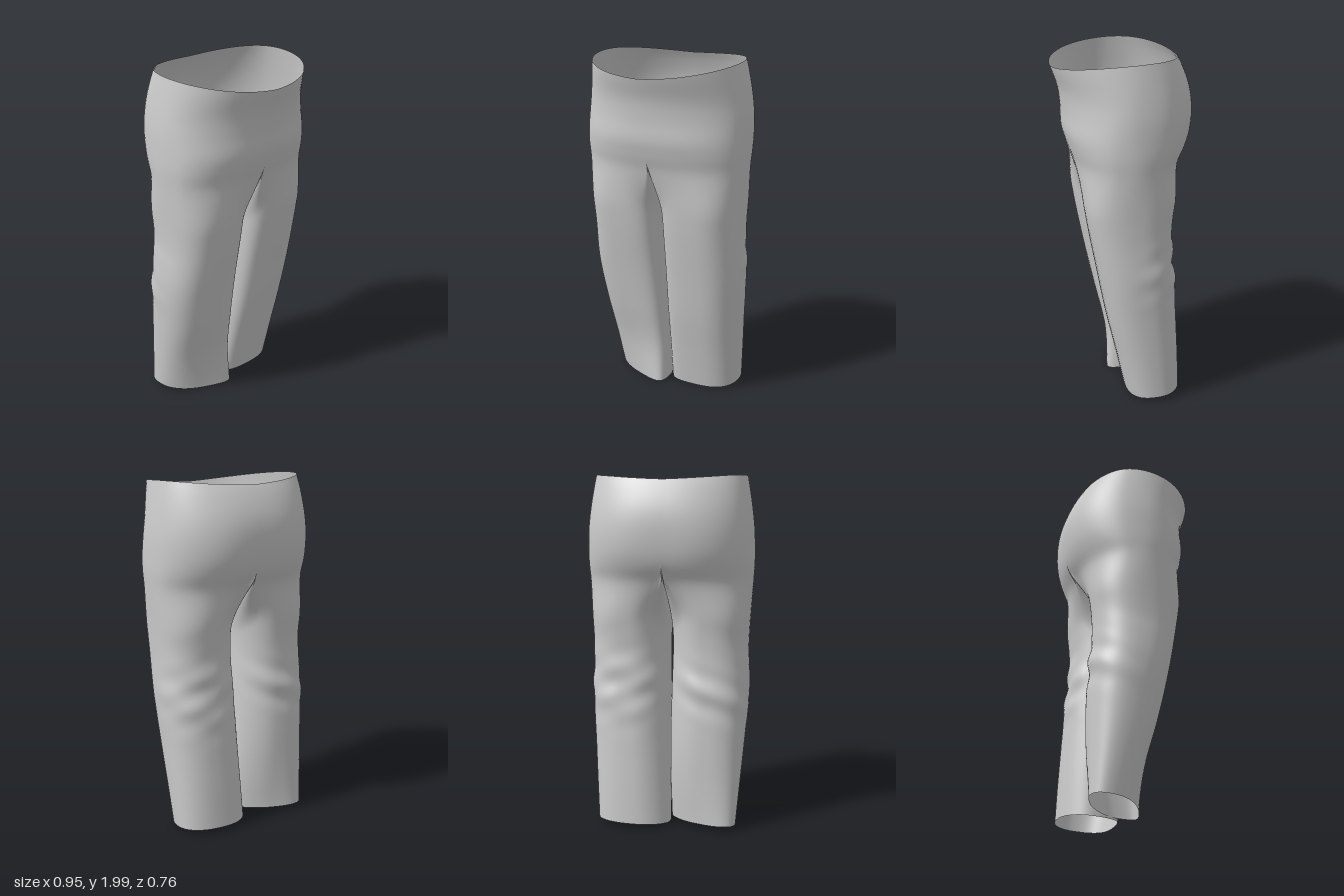
import * as THREE from 'three';
import { mergeGeometries, mergeVertices } from 'three/addons/utils/BufferGeometryUtils.js';

const OUT = 44, INN = 24, TORSO_ROWS = 24, LEG_ROWS = 64, OPEN = 0.6;
const { lerp, smoothstep, clamp } = THREE.MathUtils;

// Smooth lookup in a table of rows [y, ...values], y ascending
function table(rows) {
  const size = rows[0].length - 1;
  const f = new THREE.CubicInterpolant(rows.map(r => r[0]), rows.flatMap(r => r.slice(1)), size, new Float32Array(size));
  const lo = rows[0][0], hi = rows[rows.length - 1][0];
  return y => Array.from(f.evaluate(clamp(y, lo, hi - 1e-4)));
}

// y, half width, front z, back z
const torso = table([
  [1.00, 0.448, 0.212, -0.243], [1.20, 0.456, 0.243, -0.258], [1.32, 0.464, 0.262, -0.275],
  [1.42, 0.471, 0.278, -0.302], [1.50, 0.476, 0.302, -0.345], [1.58, 0.476, 0.322, -0.374],
  [1.70, 0.472, 0.328, -0.386], [1.81, 0.460, 0.344, -0.372], [1.93, 0.442, 0.385, -0.327],
  [2.00, 0.430, 0.405, -0.287],
]);

// y, inner x, outer x, front z, back z, twist
const legTables = {
  1: table([
    [0.00, -0.02, 0.40, 0.004, -0.31, 0], [0.25, -0.012, 0.415, 0.06, -0.297, 0],
    [0.50, -0.005, 0.43, 0.118, -0.28, 0], [0.78, 0.002, 0.447, 0.172, -0.262, 0],
    [1.05, 0.007, 0.448, 0.222, -0.243, 0], [1.40, 0.003, 0.468, 0.275, -0.29, 0],
  ]),
  '-1': table([
    [0.00, 0.01, 0.40, 0.02, -0.245, 0.085], [0.25, 0.01, 0.42, 0.052, -0.265, 0.04],
    [0.50, 0.01, 0.44, 0.112, -0.272, 0.012], [0.78, 0.013, 0.46, 0.17, -0.26, 0],
    [1.05, 0.016, 0.45, 0.222, -0.243, 0], [1.40, 0.004, 0.472, 0.275, -0.29, 0],
  ]),
};

const superPow = (v, n) => Math.sign(v) * Math.pow(Math.abs(v), 2 / n);

// Point of the half hip section; a runs 0 (front) to PI (back)
function hipPoint(a, y) {
  const [w, zf, zb] = torso(y), c = Math.cos(a), s = Math.sin(a);
  // thighs are fuller in front than the waist
  const n = c < 0 ? 2 + 0.25 * Math.min(1, -c * 3) : 2 + 0.5 * Math.min(1, c * 3) * (1 - smoothstep(y, 1.4, 1.8));
  // slight hollow along the centre back seam
  const cleft = 0.012 * Math.exp(-Math.pow((y - 1.6) / 0.18, 2)) * Math.max(0, -c) * Math.exp(-Math.pow(s / 0.3, 2));
  return new THREE.Vector3(s < 1e-6 ? 0 : w * superPow(s, n), y, superPow(c, n) * (c > 0 ? zf : -zb) + cleft);
}

// Waist edge: low in front, highest behind the hips
const waistY = a => 1.964 - 0.0225 * Math.cos(a) - 0.012 * Math.cos(2 * a) + 0.018 * Math.sin(a);
// Lower border of the hip section
const forkY = a => 1.51 - 0.02 * Math.cos(a) - 0.05 * Math.sin(a);

// Point of a round leg section; a = 0 front, PI/2 outside, PI back
function legPoint(a, y, side) {
  const [xi, xo, zf, zb, twist] = legTables[side](y);
  const s = Math.sin(a), c = Math.cos(a), inner = Math.max(0, -s);
  const n = 2.35 + 0.2 * Math.max(0, c) + inner * (c > 0 ? 1.7 * c : 0.5 * c);
  const u = superPow(s, n), v = superPow(c, n);
  // soft uneven cloth folds around the back of the knee
  const knee = Math.exp(-Math.pow((y - 0.82) / 0.18, 2)) * Math.max(0, -c + 0.3);
  const fold = 0.005 * knee * (Math.sin(y * 27 + a * 2.5 * side) + 0.6 * Math.sin(y * 41 - a * 4));
  return new THREE.Vector3(
    (xi + xo) / 2 + u * (xo - xi) / 2 + fold * Math.max(0, s), y,
    (zf + zb) / 2 + v * (zf - zb) / 2 - twist * u + fold * c);
}

// Joins rows of points (listed from top to bottom) into a surface
function loft(rows, side) {
  const n = rows[0].length, pos = [], idx = [];
  for (const row of rows) for (const p of row) pos.push(p.x * side, p.y, p.z);
  for (let j = 0; j < rows.length - 1; j++) for (let i = 0; i < n - 1; i++) {
    const a = j * n + i, b = a + 1, c = a + n, d = c + 1;
    if (side > 0) idx.push(a, c, b, b, c, d);
    else idx.push(a, b, c, b, d, c);
  }
  const g = new THREE.BufferGeometry();
  g.setAttribute('position', new THREE.Float32BufferAttribute(pos, 3));
  g.setIndex(idx);
  return g;
}

function hipHalf(side) {
  const rows = [];
  for (let j = 0; j <= TORSO_ROWS; j++) {
    const row = [];
    for (let i = 0; i <= OUT; i++) {
      const a = Math.PI * i / OUT;
      row.push(hipPoint(a, lerp(waistY(a), forkY(a), j / TORSO_ROWS)));
    }
    rows.push(row);
  }
  return loft(rows, side);
}

function leg(side) {
  // Each ring entry: start height, leg angle, and the hip shape it grows from
  const ring = [];
  for (let i = 0; i <= OUT; i++) {
    const h = Math.PI * i / OUT;
    ring.push({ y0: forkY(h), a: lerp(-OPEN, Math.PI + OPEN, i / OUT), hip: y => hipPoint(h, y) });
  }
  // Inside: the crotch seam, a curve in the middle plane from back to front
  const backZ = hipPoint(Math.PI, forkY(Math.PI)).z, frontZ = hipPoint(0, forkY(0)).z;
  for (let i = 1; i <= INN; i++) {
    const t = i / INN, k = (1 - Math.cos(Math.PI * t)) / 2, sag = i < INN ? 0.13 * Math.sin(Math.PI * t) : 0;
    const y0 = lerp(forkY(Math.PI), forkY(0), k) - sag;
    ring.push({
      y0,
      a: lerp(Math.PI + OPEN, 2 * Math.PI - OPEN, t),
      // below the seam the section narrows together with the thigh
      hip: y => new THREE.Vector3(0, y, lerp(
        backZ * hipPoint(Math.PI, y + sag).z / hipPoint(Math.PI, y0 + sag).z,
        frontZ * hipPoint(0, y + sag).z / hipPoint(0, y0 + sag).z, k)),
    });
  }
  const rows = [];
  for (let j = 0; j <= LEG_ROWS; j++) {
    const t = j / LEG_ROWS, w = smoothstep(t, 0, 0.22);
    rows.push(ring.map(({ y0, a, hip }) => {
      const y = lerp(y0, 0.022 - 0.014 * Math.cos(a) + 0.008 * Math.sin(a), t);
      return hip(y).lerp(legPoint(a, y, side), w);
    }));
  }
  return loft(rows, side);
}

export function createModel() {
  const group = new THREE.Group();
  group.name = 'trousers';
  // Hips and both legs are welded into one smooth cloth shell
  const parts = [1, -1].flatMap(side => [hipHalf(side), leg(side)]);
  const cloth = mergeVertices(mergeGeometries(parts), 1e-4);
  cloth.computeVertexNormals();
  const mesh = new THREE.Mesh(cloth, new THREE.MeshStandardMaterial({ color: 0xcccccc, side: THREE.DoubleSide }));
  mesh.name = 'trouserCloth';
  group.add(mesh);
  return group;
}
